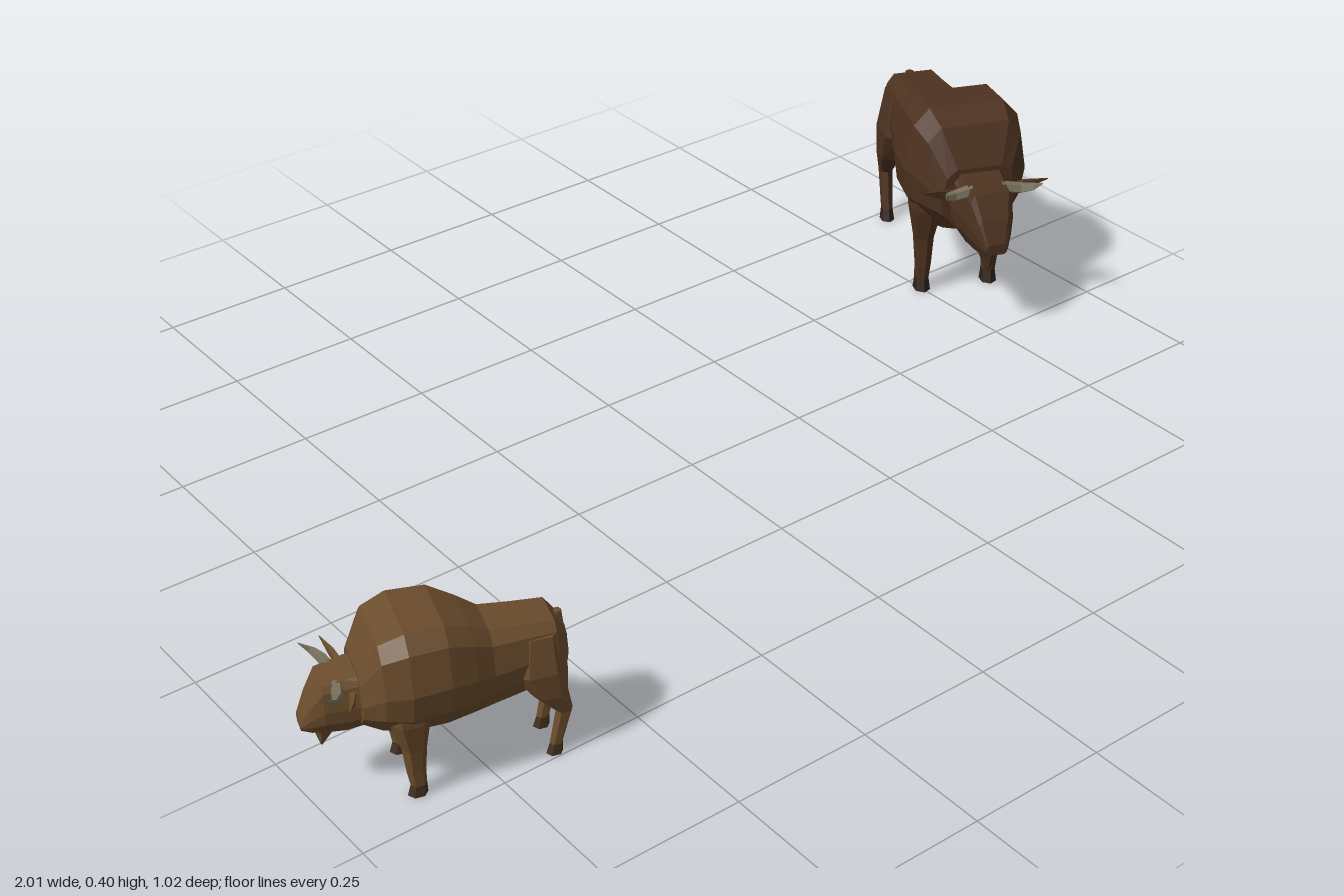
import * as THREE from 'three';

// Skin a list of equal-sized rings, cap both ends, and turn faces outward.
function loft(rings) {
  const n = rings[0].length, pos = rings.flat(2), idx = [];
  for (let r = 0; r < rings.length - 1; r++) {
    for (let i = 0; i < n; i++) {
      const a = r * n + i, b = r * n + (i + 1) % n;
      idx.push(a, b, a + n, b, b + n, a + n);
    }
  }
  const last = (rings.length - 1) * n;
  for (let i = 1; i < n - 1; i++) idx.push(0, i + 1, i, last, last + i, last + i + 1);
  const v = (i) => new THREE.Vector3().fromArray(pos, i * 3);
  let volume = 0;
  for (let i = 0; i < idx.length; i += 3) volume += v(idx[i]).dot(v(idx[i + 1]).cross(v(idx[i + 2])));
  if (volume < 0) idx.reverse();
  const geo = new THREE.BufferGeometry();
  geo.setAttribute('position', new THREE.Float32BufferAttribute(pos, 3));
  geo.setIndex(idx);
  geo.computeVertexNormals();
  return geo;
}

// Faceted trunk section: [z, top, bottom, top half-width, middle half-width, bottom half-width]
function section([z, top, bot, wt, wm, wb]) {
  const h = top - bot;
  const half = [[wt, top - h * 0.02], [wt + (wm - wt) * 0.65, top - h * 0.15],
    [wm, bot + h * 0.5], [wm * 0.92, bot + h * 0.25], [wb, bot]];
  return [...half.map(([x, y]) => [x, y, z]), ...half.reverse().map(([x, y]) => [-x, y, z])];
}

// Tapered limb from [x, y, z, radius, radius], with rings across the y or x axis
function limb(points, side = 1, axis = 'y', sides = 6) {
  return loft(points.map(([x, y, z, a, b]) => Array.from({ length: sides }, (_, i) => {
    const t = (i + 0.5) / sides * Math.PI * 2, c = Math.cos(t) * a, s = Math.sin(t) * b;
    return axis === 'y' ? [side * (x + c), y, z + s] : [side * x, y + c, z + s];
  })));
}

const TRUNK = [
  [-0.275, 0.30, 0.205, 0.022, 0.045, 0.03],
  [-0.25, 0.33, 0.18, 0.04, 0.062, 0.04],
  [-0.18, 0.337, 0.172, 0.042, 0.07, 0.045],
  [-0.115, 0.345, 0.162, 0.045, 0.08, 0.05],
  [-0.075, 0.372, 0.157, 0.055, 0.098, 0.055],
  [-0.02, 0.402, 0.15, 0.07, 0.115, 0.06],
  [0.06, 0.405, 0.15, 0.075, 0.122, 0.06],
  [0.112, 0.386, 0.165, 0.068, 0.108, 0.055],
  [0.15, 0.31, 0.18, 0.045, 0.075, 0.04],
];
const HEAD = [
  [0.12, 0.305, 0.175, 0.04, 0.062, 0.035],
  [0.175, 0.297, 0.165, 0.038, 0.052, 0.03],
  [0.22, 0.29, 0.168, 0.034, 0.046, 0.026],
  [0.245, 0.245, 0.172, 0.026, 0.034, 0.022],
  [0.264, 0.2, 0.178, 0.016, 0.022, 0.016],
];
const FORELEG = [
  [0.065, 0.26, 0.06, 0.04, 0.055], [0.073, 0.19, 0.06, 0.033, 0.043],
  [0.072, 0.12, 0.055, 0.02, 0.026], [0.07, 0.06, 0.054, 0.016, 0.02],
  [0.07, 0.025, 0.051, 0.014, 0.017],
];
const HINDLEG = [
  [0.045, 0.305, -0.215, 0.02, 0.045], [0.05, 0.22, -0.213, 0.03, 0.058],
  [0.048, 0.155, -0.235, 0.025, 0.036], [0.045, 0.105, -0.262, 0.014, 0.018],
  [0.045, 0.025, -0.243, 0.012, 0.014],
];
const HORN = [
  [0.03, 0.283, 0.19, 0.012, 0.013], [0.065, 0.278, 0.195, 0.011, 0.012],
  [0.086, 0.284, 0.208, 0.008, 0.009], [0.096, 0.303, 0.234, 0.001, 0.001],
];
const EAR = [
  [0.035, 0.262, 0.16, 0.008, 0.01], [0.085, 0.272, 0.172, 0.012, 0.007],
  [0.126, 0.286, 0.186, 0.001, 0.001],
];

function buildAnimal(coat, hoofColor) {
  const animal = new THREE.Group();
  const material = (color) => new THREE.MeshStandardMaterial({ color, flatShading: true });
  const fur = material(coat), hoof = material(hoofColor), bone = material(0x77705c);
  const add = (name, geo, mat = fur) => {
    const mesh = new THREE.Mesh(geo, mat);
    mesh.name = name;
    animal.add(mesh);
  };

  add('trunk', loft(TRUNK.map(section)));
  add('head', loft(HEAD.map(section)));
  add('beard', limb([[0, 0.185, 0.215, 0.028, 0.034], [0, 0.155, 0.215, 0.017, 0.02],
    [0, 0.12, 0.223, 0.002, 0.002]]));
  add('tail', limb([[0, 0.32, -0.268, 0.009, 0.008], [0, 0.24, -0.279, 0.006, 0.006],
    [0, 0.17, -0.276, 0.009, 0.008], [0, 0.125, -0.273, 0.002, 0.002]]));

  // Paired parts
  for (const [side, label] of [[1, 'left'], [-1, 'right']]) {
    add(label + 'ForeLeg', limb(FORELEG, side));
    add(label + 'HindLeg', limb(HINDLEG, side));
    add(label + 'ForeHoof', limb([[0.07, 0.025, 0.051, 0.014, 0.017], [0.07, 0, 0.054, 0.017, 0.021]], side), hoof);
    add(label + 'HindHoof', limb([[0.045, 0.025, -0.243, 0.012, 0.014], [0.045, 0, -0.239, 0.015, 0.018]], side), hoof);
    add(label + 'Horn', limb(HORN, side, 'x', 5), bone);
    add(label + 'Ear', limb(EAR, side, 'x', 4));
  }
  return animal;
}

export function createModel() {
  const model = new THREE.Group();
  model.name = 'bisonPair';

  const adult = buildAnimal(0x4d3220, 0x2e2019);
  adult.name = 'largeBison';
  adult.position.set(0.838, 0, -0.238);
  adult.rotation.y = -0.41;

  const young = buildAnimal(0x6b4c2c, 0x40301f);
  young.name = 'smallBison';
  young.position.set(-0.81, 0, 0.4);
  young.rotation.y = -1.878;
  young.scale.setScalar(0.753);

  model.add(adult, young);
  return model;
}
